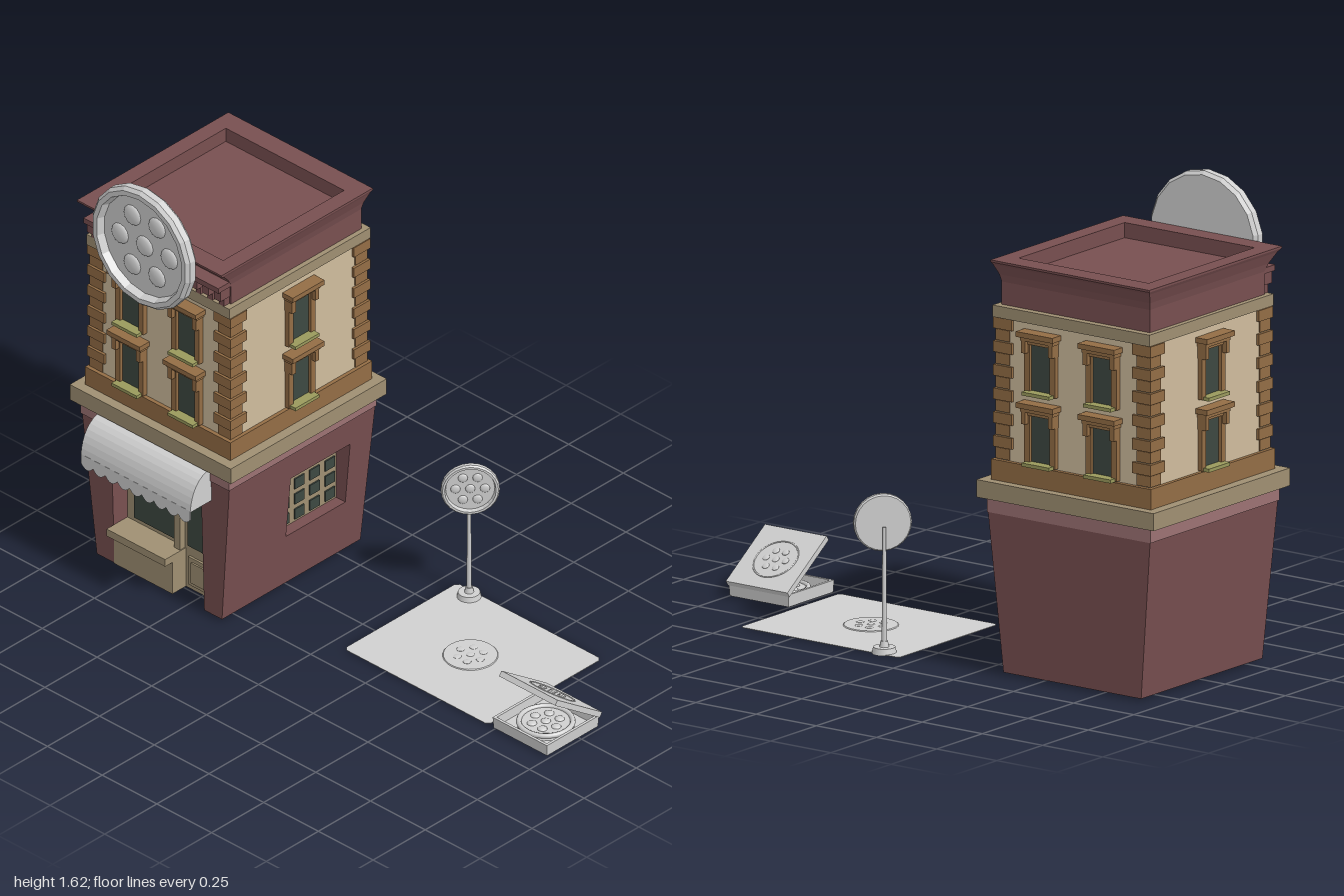
import * as THREE from 'three';

const paint = (name, color) => {
  const m = new THREE.MeshStandardMaterial({ color });
  m.name = name;
  return m;
};
const maroon = paint('maroon', 0x784f50), rose = paint('rose', 0x9c7273), tan = paint('tan', 0x9f8f72),
  brown = paint('brown', 0x936d45), cream = paint('cream', 0xcfbc9d), glass = paint('dark glass', 0x3d4841),
  olive = paint('olive', 0x9a9a5c), grey = paint('light grey', 0xd0d0d0);

function add(parent, name, mat, geo, x = 0, y = 0, z = 0) {
  const m = new THREE.Mesh(geo, mat);
  m.name = name;
  m.position.set(x, y, z);
  parent.add(m);
  return m;
}
const box = (parent, name, mat, w, h, d, x, y, z) => add(parent, name, mat, new THREE.BoxGeometry(w, h, d), x, y, z);
// box given by its limits
const span = (parent, name, mat, x0, x1, y0, y1, z0, z1) =>
  box(parent, name, mat, x1 - x0, y1 - y0, z1 - z0, (x0 + x1) / 2, (y0 + y1) / 2, (z0 + z1) / 2);

function flat(geo) {
  const g = geo.index ? geo.toNonIndexed() : geo;
  g.computeVertexNormals();
  return g;
}

// rectangular sections [halfX, halfZ, y, shiftZ], joined from bottom outside to top inside
function rectLoft(sections) {
  const pos = [], sx = [1, 1, -1, -1], sz = [1, -1, -1, 1];
  const at = ([hx, hz, y, dz = 0], k) => [sx[k % 4] * hx, y, sz[k % 4] * hz + dz];
  for (let i = 0; i + 1 < sections.length; i++) {
    for (let k = 0; k < 4; k++) {
      const a = at(sections[i], k), b = at(sections[i], k + 1), c = at(sections[i + 1], k + 1), d = at(sections[i + 1], k);
      pos.push(...a, ...b, ...c, ...a, ...c, ...d);
    }
  }
  const g = new THREE.BufferGeometry();
  g.setAttribute('position', new THREE.Float32BufferAttribute(pos, 3));
  return flat(g);
}

// outer faces of the ground floor lean outwards as they rise
function lean(mesh) {
  mesh.updateMatrix();
  const g = mesh.geometry.applyMatrix4(mesh.matrix), p = g.attributes.position;
  mesh.position.set(0, 0, 0);
  mesh.rotation.set(0, 0, 0);
  for (let i = 0; i < p.count; i++) {
    const t = 1 - (p.getY(i) - 0.01) / 0.55;
    if (Math.abs(p.getX(i)) > 0.3) p.setX(i, p.getX(i) - Math.sign(p.getX(i)) * 0.051 * t);
    if (Math.abs(p.getZ(i)) > 0.3) p.setZ(i, p.getZ(i) - Math.sign(p.getZ(i)) * 0.018 * t);
  }
  mesh.geometry = flat(g);
}

// one dome in the middle and six around it, lying on the xz plane
function domes(parent, ring, r, h, y) {
  for (let i = 0; i < 7; i++) {
    const a = i * Math.PI / 3, d = i ? ring : 0;
    const g = new THREE.SphereGeometry(r, 12, 4, 0, Math.PI * 2, 0, Math.PI / 2);
    add(parent, 'topping', grey, g, d * Math.cos(a), y, d * Math.sin(a)).scale.y = h / r;
  }
}

// rimmed round plate with toppings, facing +z
function roundSign(name, r, t, sides) {
  const g = new THREE.Group(), face = new THREE.Group();
  g.name = name;
  const pts = [[0, 0], [0.95, 0], [1, 0.25], [1, 0.75], [0.95, 1], [0.87, 1], [0.83, 0.45], [0, 0.45]]
    .map(([a, b]) => new THREE.Vector2(a * r, b * t));
  add(face, 'rimmed plate', grey, flat(new THREE.LatheGeometry(pts, sides)));
  domes(face, r * 0.5, r * 0.17, t * 0.25, t * 0.45);
  face.rotation.x = Math.PI / 2;
  g.add(face);
  return g;
}

// upper window, facing +z with its foot at the origin
function upperWindow() {
  const g = new THREE.Group();
  g.name = 'upperWindow';
  box(g, 'glass', glass, 0.09, 0.175, 0.006, 0, 0.095, 0.003);
  for (const s of [-1, 1]) {
    box(g, 'jamb', brown, 0.022, 0.185, 0.018, s * 0.053, 0.0975, 0.009);
    box(g, 'corbel', brown, 0.018, 0.045, 0.034, s * 0.056, 0.168, 0.017);
  }
  box(g, 'head', brown, 0.126, 0.016, 0.022, 0, 0.183, 0.011);
  box(g, 'lintel', brown, 0.136, 0.014, 0.036, 0, 0.195, 0.018);
  box(g, 'lintel cap', brown, 0.152, 0.018, 0.048, 0, 0.211, 0.024);
  box(g, 'sill', olive, 0.115, 0.012, 0.042, 0, 0.009, 0.021);
  return g;
}

function groundFloor(b) {
  const wall = (...limits) => lean(span(b, 'lower wall', maroon, ...limits));
  wall(-0.337, 0.337, 0.01, 0.56, -0.35, -0.26);
  wall(-0.337, -0.205, 0.01, 0.56, -0.26, 0.35);
  wall(-0.205, 0.205, 0.5, 0.56, 0.25, 0.35);
  // right wall with its window opening
  const s = new THREE.Shape([[-0.35, 0.01], [0.26, 0.01], [0.26, 0.56], [-0.35, 0.56]].map(p => new THREE.Vector2(...p)));
  s.holes.push(new THREE.Path([[-0.045, 0.21], [-0.045, 0.45], [0.24, 0.45], [0.24, 0.21]].map(p => new THREE.Vector2(...p))));
  const right = add(b, 'right lower wall', maroon, new THREE.ExtrudeGeometry(s, { depth: 0.132, bevelEnabled: false }), 0.205);
  right.rotation.y = Math.PI / 2;
  lean(right);
  span(b, 'lattice window frame', tan, 0.215, 0.262, 0.21, 0.45, -0.24, 0.045);
  for (let i = 0; i < 4; i++) for (let j = 0; j < 4; j++)
    box(b, 'lattice pane', glass, 0.006, 0.04, 0.046, 0.264, 0.24 + j * 0.06, -0.207 + i * 0.073);
  // shop front
  span(b, 'shop front', tan, -0.205, 0.205, 0.01, 0.55, 0.24, 0.27);
  span(b, 'shop window', glass, -0.17, 0.022, 0.18, 0.5, 0.27, 0.276);
  span(b, 'door glass', glass, 0.075, 0.182, 0.18, 0.5, 0.27, 0.276);
  span(b, 'bulkhead', tan, -0.205, 0.062, 0.01, 0.135, 0.27, 0.335);
  span(b, 'shop sill', tan, -0.205, 0.062, 0.135, 0.163, 0.27, 0.37);
  span(b, 'mullion', tan, 0.032, 0.058, 0.163, 0.55, 0.27, 0.295);
  span(b, 'door panel', tan, 0.08, 0.172, 0.03, 0.14, 0.27, 0.278);
  span(b, 'door panel centre', tan, 0.097, 0.155, 0.045, 0.125, 0.278, 0.284);
}

function awning(b) {
  const s = new THREE.Shape();
  s.moveTo(0.335, 0.475);
  s.lineTo(0.45, 0.475);
  s.bezierCurveTo(0.445, 0.55, 0.41, 0.6, 0.35, 0.605);
  s.lineTo(0.335, 0.605);
  add(b, 'awning', grey, new THREE.ExtrudeGeometry(s, { depth: 0.5, bevelEnabled: false, curveSegments: 8 }), 0.253).rotation.y = -Math.PI / 2;
  const v = new THREE.Shape(), n = 9, w = 0.5 / n;
  v.moveTo(0.25, 0.48);
  v.lineTo(-0.25, 0.48);
  v.lineTo(-0.25, 0.445);
  for (let i = 0; i < n; i++) v.quadraticCurveTo(-0.25 + (i + 0.5) * w, 0.408, -0.25 + (i + 1) * w, 0.445);
  add(b, 'scalloped valance', grey, new THREE.ExtrudeGeometry(v, { depth: 0.003, bevelEnabled: false, curveSegments: 6 }), 0.003, 0, 0.447);
}

function upperFloors(b) {
  span(b, 'rose band', rose, -0.34, 0.34, 0.555, 0.605, -0.352, 0.355);
  span(b, 'shop cornice', tan, -0.368, 0.368, 0.605, 0.665, -0.372, 0.376);
  span(b, 'brown band', brown, -0.332, 0.332, 0.665, 0.735, -0.34, 0.34);
  span(b, 'upper wall', cream, -0.318, 0.318, 0.735, 1.225, -0.325, 0.325);
  span(b, 'upper band', tan, -0.326, 0.326, 1.222, 1.262, -0.339, 0.339);
  // corner stones, wide and narrow in turn
  for (const sx of [-1, 1]) for (const sz of [-1, 1]) for (let i = 0; i < 12; i++) {
    const wide = i % 2, w = wide ? 0.078 : 0.058, out = wide ? 0.01 : 0.004, h = 0.0405;
    box(b, 'corner stone', brown, w, h - 0.003, w, sx * (0.318 + out - w / 2), 0.736 + (i + 0.5) * h, sz * (0.325 + out - w / 2));
  }
  for (const y of [0.735, 0.978]) for (let side = 0; side < 4; side++) {
    const wide = side % 2 === 0;
    for (const x of wide ? [-0.128, 0.128] : [0]) {
      const turn = new THREE.Group(), w = upperWindow();
      turn.name = 'window';
      w.position.set(x, y, wide ? 0.325 : 0.318);
      turn.rotation.y = side * Math.PI / 2;
      turn.add(w);
      b.add(turn);
    }
  }
  // coved parapet with a sunken roof
  add(b, 'parapet', maroon, rectLoft([[0, 0, 1.26], [0.308, 0.313, 1.26], [0.308, 0.313, 1.34], [0.313, 0.324, 1.365, 0.005],
    [0.325, 0.35, 1.4, 0.013], [0.33, 0.363, 1.41, 0.018], [0.33, 0.363, 1.417, 0.018],
    [0.27, 0.29, 1.417, 0.02], [0.27, 0.29, 1.365, 0.02], [0, 0, 1.365, 0.02]]));
  span(b, 'front ledge', maroon, -0.308, 0.308, 1.332, 1.352, 0.3, 0.373);
  for (let i = 0; i < 12; i++) {
    const x = -0.291 + i * 0.0529;
    box(b, 'bracket', maroon, 0.028, 0.04, 0.052, x, 1.312, 0.334);
    box(b, 'bracket foot', maroon, 0.022, 0.03, 0.03, x, 1.278, 0.325);
  }
}

export function createModel() {
  const model = new THREE.Group();
  model.name = 'street corner shop';
  const b = new THREE.Group();
  b.name = 'building';
  b.position.set(-0.632, 0, -0.02);
  model.add(b);
  groundFloor(b);
  awning(b);
  upperFloors(b);
  const sign = roundSign('roof sign', 0.225, 0.05, 18);
  sign.position.set(0, 1.395, 0.38);
  b.add(sign);

  // sign on a post
  const post = new THREE.Group();
  post.name = 'post sign';
  post.position.set(0.143, 0, -0.36);
  add(post, 'post base', grey, new THREE.CylinderGeometry(0.037, 0.042, 0.022, 20), 0, 0.011);
  add(post, 'post collar', grey, new THREE.CylinderGeometry(0.012, 0.016, 0.02, 12), 0, 0.032);
  add(post, 'post', grey, new THREE.CylinderGeometry(0.006, 0.009, 0.4, 12), 0, 0.23);
  const plate = roundSign('round plate', 0.098, 0.026, 24);
  plate.position.set(0.007, 0.443, 0.003);
  plate.rotation.y = 0.82;
  post.add(plate);
  model.add(post);

  // ground mat with a round emblem
  const m = new THREE.Shape(), hx = 0.33, hz = 0.272, c = 0.012;
  [[-hx + c, -hz], [hx - c, -hz], [hx, -hz + c], [hx, hz - c], [hx - c, hz], [-hx + c, hz], [-hx, hz - c], [-hx, -hz + c]]
    .forEach(([x, y], i) => (i ? m.lineTo(x, y) : m.moveTo(x, y)));
  add(model, 'mat', grey, new THREE.ExtrudeGeometry(m, { depth: 0.002, bevelEnabled: false }), 0.39, 0.002, -0.118).rotation.x = -Math.PI / 2;
  const emblem = new THREE.Group();
  emblem.name = 'mat emblem';
  emblem.position.set(0.39, 0, -0.107);
  add(emblem, 'emblem disc', grey, new THREE.CylinderGeometry(0.09, 0.095, 0.006, 28), 0, 0.004);
  domes(emblem, 0.045, 0.014, 0.003, 0.007);
  model.add(emblem);

  // open box with a round pie and a raised lid
  const carton = new THREE.Group();
  carton.name = 'carton';
  carton.position.set(0.868, 0, 0.033);
  add(carton, 'tray', grey, rectLoft([[0, 0, 0.004], [0.122, 0.122, 0.004], [0.124, 0.125, 0.046],
    [0.114, 0.115, 0.046], [0.112, 0.113, 0.012], [0, 0, 0.012]]));
  add(carton, 'pie', grey, new THREE.CylinderGeometry(0.09, 0.095, 0.016, 28), 0, 0.02);
  add(carton, 'crust', grey, new THREE.TorusGeometry(0.09, 0.009, 8, 28), 0, 0.028).rotation.x = Math.PI / 2;
  domes(carton, 0.048, 0.017, 0.007, 0.028);
  const lid = new THREE.Group();
  lid.name = 'lid';
  lid.position.set(0, 0.04, -0.125);
  lid.rotation.x = -0.61;
  box(lid, 'lid panel', grey, 0.256, 0.02, 0.262, 0, 0.01, 0.131);
  const mark = new THREE.Group();
  mark.name = 'lid emblem';
  mark.position.set(0, 0.02, 0.128);
  add(mark, 'emblem ring', grey, new THREE.TorusGeometry(0.08, 0.003, 6, 28)).rotation.x = Math.PI / 2;
  domes(mark, 0.04, 0.013, 0.004, 0);
  lid.add(mark);
  carton.add(lid);
  model.add(carton);
  return model;
}
